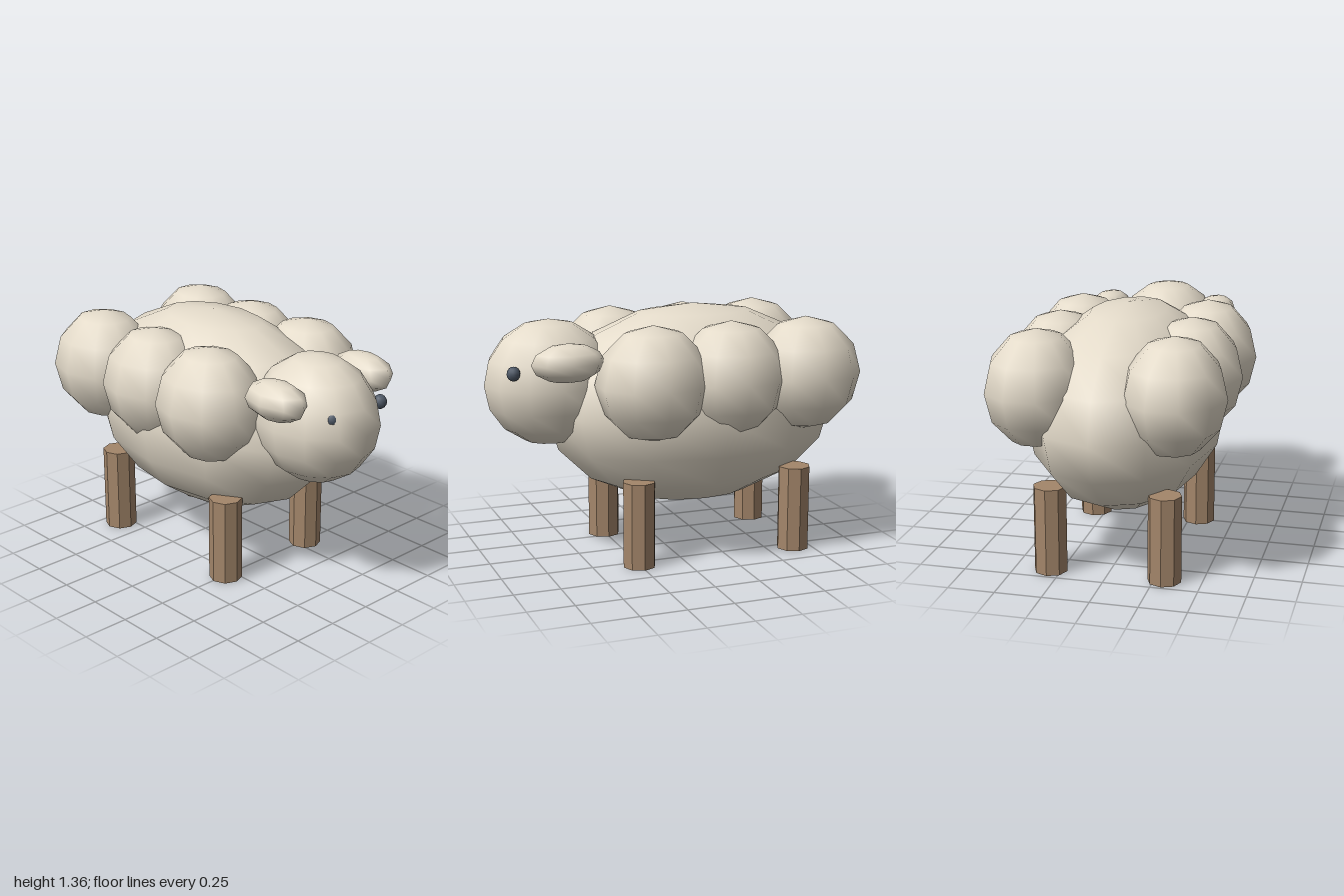
import * as THREE from 'three';

export function createModel() {
  const model = new THREE.Group();
  model.name = 'sheep';

  const mat = (name, color) => {
    const m = new THREE.MeshStandardMaterial({ color });
    m.name = name;
    return m;
  };
  const wool = mat('wool', 0xe4dbca);
  const wood = mat('woodBrown', 0xa3866a);
  wood.flatShading = true;
  const dark = mat('eyeSlate', 0x4e5866);

  // Stretched low-poly ball: segs = [around, up], phi turns its first corner
  const ball = (name, material, pos, radii, segs, phi = 0) => {
    const geo = new THREE.SphereGeometry(1, segs[0], segs[1], phi);
    geo.scale(...radii);
    const mesh = new THREE.Mesh(geo, material);
    mesh.name = name;
    mesh.position.set(...pos);
    model.add(mesh);
  };

  // Body and head; the head sits slightly to one side
  ball('body', wool, [-0.165, 0.808, 0], [0.835, 0.547, 0.52], [12, 8]);
  ball('head', wool, [0.64, 0.97, 0.032], [0.355, 0.338, 0.303], [12, 8]);

  for (const [side, s] of [['left', -1], ['right', 1]]) {
    // Row of wool puffs along each flank
    [-0.675, -0.243, 0.192].forEach((x, i) => {
      ball(`${side}Puff${i + 1}`, wool, [x, 1, s * 0.355], [0.308, 0.307, 0.27], [10, 6], Math.PI / 2);
    });

    // Ear and eye
    ball(`${side}Ear`, wool, [0.637, 1.132, s * 0.314], [0.195, 0.102, 0.12], [8, 6]);
    ball(`${side}Eye`, dark, [0.887, 1.068, s * 0.175], [0.036, 0.038, 0.036], [10, 8]);

    // Eight-sided legs
    for (const [end, x] of [['back', -0.65], ['front', 0.255]]) {
      const leg = new THREE.Mesh(new THREE.CylinderGeometry(0.089, 0.089, 0.47, 8), wood);
      leg.name = `${side}${end}Leg`;
      leg.position.set(x, 0.235, s * 0.305);
      model.add(leg);
    }
  }
  return model;
}
